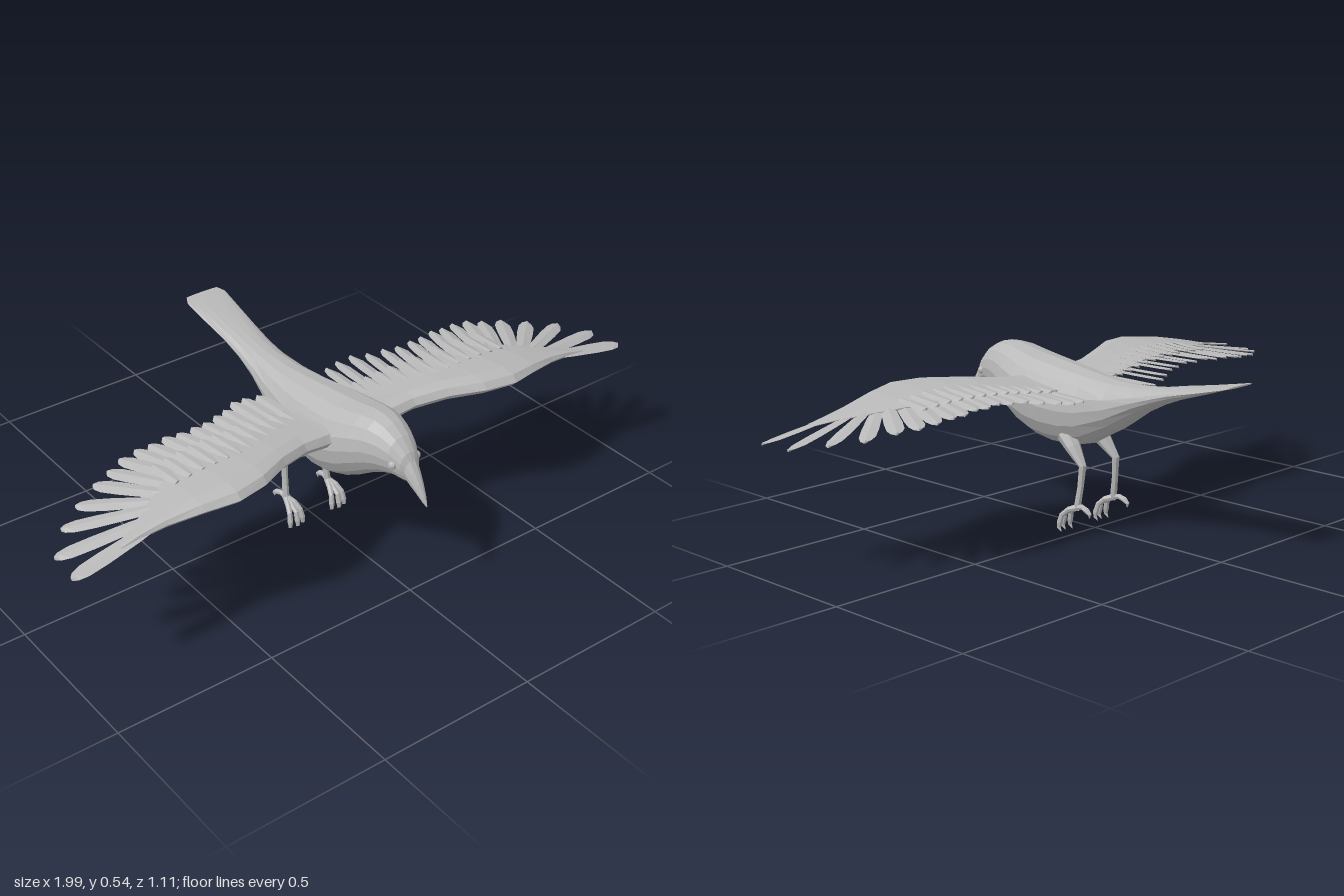
import * as THREE from 'three';

const plumage = new THREE.MeshStandardMaterial({ color: 0xb8b8b8, flatShading: true });
plumage.name = 'plain grey';

// Joins equal-sized rings of [x, y, z] points into a closed skin facing outward.
function loft(rings, name) {
  const n = rings[0].length, pts = rings.flat(), idx = [];
  for (let i = 0; i < rings.length - 1; i++)
    for (let j = 0; j < n; j++) {
      const a = i * n + j, b = i * n + (j + 1) % n;
      idx.push(a, b, a + n, b, b + n, a + n);
    }
  const last = (rings.length - 1) * n;
  for (let j = 1; j < n - 1; j++) {
    idx.push(0, j + 1, j);
    idx.push(last, last + j, last + j + 1);
  }
  // flip the winding if the enclosed volume comes out negative
  const v = pts.map(p => new THREE.Vector3(...p));
  const c = v.reduce((s, p) => s.add(p), new THREE.Vector3()).divideScalar(v.length);
  v.forEach(p => p.sub(c));
  let volume = 0;
  for (let k = 0; k < idx.length; k += 3)
    volume += v[idx[k]].dot(v[idx[k + 1]].clone().cross(v[idx[k + 2]]));
  if (volume < 0) idx.reverse();
  const g = new THREE.BufferGeometry();
  g.setAttribute('position', new THREE.Float32BufferAttribute(pts.flat(), 3));
  g.setIndex(idx);
  g.computeVertexNormals();
  return part(g, name);
}

function part(geometry, name) {
  const m = new THREE.Mesh(geometry, plumage);
  m.name = name;
  return m;
}

// Linear lookup in a short list of [x, value...] rows
function lookup(rows, x, col = 1) {
  let i = 0;
  while (i < rows.length - 2 && x > rows[i + 1][0]) i++;
  const a = rows[i], b = rows[i + 1];
  const t = THREE.MathUtils.clamp((x - a[0]) / (b[0] - a[0]), 0, 1);
  return a[col] + (b[col] - a[col]) * t;
}

// Trunk rings from rows of z, top, bottom, half width
function trunk(rows, name, sides = 16) {
  return loft(rows.map(([z, top, bottom, w]) =>
    Array.from({ length: sides }, (_, j) => {
      const a = j / sides * Math.PI * 2, c = Math.cos(a), s = Math.sin(a);
      const mid = (top + bottom) / 2;
      return [Math.sign(c) * Math.abs(c) ** 0.9 * w, mid + s * (top - bottom) / 2, z];
    })), name);
}

// Wing stations: x, leading z, trailing z, centre y, thickness
const WING = [
  [0.05, 0.26, 0.06, 0.435, 0.05], [0.12, 0.26, 0.07, 0.437, 0.05],
  [0.2, 0.265, 0.08, 0.447, 0.045], [0.3, 0.3, 0.1, 0.46, 0.045],
  [0.4, 0.35, 0.11, 0.467, 0.045], [0.5, 0.37, 0.12, 0.467, 0.042],
  [0.6, 0.345, 0.15, 0.458, 0.036], [0.7, 0.318, 0.21, 0.444, 0.026],
  [0.78, 0.308, 0.26, 0.432, 0.016], [0.84, 0.308, 0.282, 0.423, 0.006],
];
const wingY = x => x > 0.84 ? 0.423 - (x - 0.84) * 0.14 : lookup(WING, x, 3);

// Chord profile: fraction of chord, height in thicknesses
const AIRFOIL = [[0, 0], [0.07, 0.45], [0.25, 0.6], [0.6, 0.35], [1, 0.08],
  [1, -0.06], [0.6, 0.0], [0.25, -0.3], [0.07, -0.4]];

// A thin blade with a rounded tip lying along the wing surface
function feather(side, [rx, rz, tx, tz, w], lift) {
  const len = Math.hypot(tx - rx, tz - rz), dx = (tx - rx) / len, dz = (tz - rz) / len;
  const shape = [[0, 0.5], [0.3, 0.85], [0.65, 1], [0.86, 0.95], [0.96, 0.62], [1, 0.15]];
  return loft(shape.map(([t, k]) => {
    const x = rx + (tx - rx) * t, z = rz + (tz - rz) * t, h = w * k / 2;
    const y = wingY(x) + lift - 0.008 * t;
    return [[-h, 0.003], [0, 0.005], [h, -0.003], [0, -0.003]]
      .map(([o, e]) => [side * (x - dz * o), y + e, z + dx * o]);
  }), 'flightFeather');
}

function makeWing(side) {
  const wing = new THREE.Group();
  wing.name = side > 0 ? 'leftWing' : 'rightWing';
  wing.add(loft(WING.map(([x, lead, trail, y, t]) =>
    AIRFOIL.map(([u, h]) => [side * x, y + h * t, lead + (trail - lead) * u])), 'wingArm'));
  // fanned outer feathers: root x, root z, tip x, tip z, width
  const outer = [
    [0.7, 0.29, 0.995, 0.308, 0.05], [0.68, 0.27, 0.985, 0.203, 0.048],
    [0.66, 0.25, 0.915, 0.118, 0.048], [0.64, 0.24, 0.835, 0.06, 0.05],
    [0.62, 0.23, 0.755, 0.022, 0.052], [0.58, 0.22, 0.695, -0.002, 0.05],
    [0.55, 0.21, 0.645, -0.02, 0.05],
  ];
  outer.forEach((f, i) => wing.add(feather(side, f, 0.002 - (i % 2) * 0.003)));
  // inner row, running back to the body
  const tips = [[0.12, -0.075], [0.2, -0.09], [0.26, -0.055], [0.33, -0.025],
    [0.4, -0.012], [0.5, -0.02], [0.6, -0.025]];
  for (let i = 0; i < 11; i++) {
    const x = 0.13 + i * 0.046;
    wing.add(feather(side, [x - 0.01 - i * 0.005, 0.2, x, lookup(tips, x), 0.046],
      0.001 - (i % 2) * 0.003));
  }
  // short covering feathers over the inner row
  for (let i = 0; i < 12; i++) {
    const x = 0.13 + i * 0.042;
    wing.add(feather(side, [x, 0.2, x + 0.005, 0.05 + i * 0.003, 0.036], 0.012));
  }
  return wing;
}

// Round limb along points [x, y, z] with a radius at each
function limb(points, radii, name) {
  const p = points.map(a => new THREE.Vector3(...a));
  return loft(p.map((c, i) => {
    const d = p[Math.min(i + 1, p.length - 1)].clone().sub(p[Math.max(i - 1, 0)]).normalize();
    const u = new THREE.Vector3(1, 0, 0).addScaledVector(d, -d.x).normalize();
    const v = d.clone().cross(u);
    return Array.from({ length: 7 }, (_, j) => {
      const a = j / 7 * Math.PI * 2;
      return c.clone().addScaledVector(u, Math.cos(a) * radii[i])
        .addScaledVector(v, Math.sin(a) * radii[i]).toArray();
    });
  }), name);
}

function makeLeg(side) {
  const leg = new THREE.Group();
  leg.name = side > 0 ? 'leftLeg' : 'rightLeg';
  leg.add(limb([[side * 0.06, 0.3, 0.06], [side * 0.068, 0.265, 0.025], [side * 0.073, 0.215, -0.018],
    [side * 0.076, 0.15, -0.012], [side * 0.08, 0.085, -0.002]],
  [0.032, 0.024, 0.012, 0.01, 0.011], 'shank'));
  // three forward toes with curled claws
  for (const k of [-1, 0, 1]) {
    const x = o => side * (0.08 + k * o), r = k === 0 ? 0.006 : 0;
    leg.add(limb([[x(0), 0.085, -0.002], [x(0.012), 0.076, 0.025], [x(0.02), 0.058, 0.044 + r],
      [x(0.023), 0.032, 0.051 + r], [x(0.024), 0.016, 0.053 + r], [x(0.024), 0.005, 0.043 + r]],
    [0.011, 0.009, 0.008, 0.009, 0.006, 0.001], 'toe'));
  }
  // hind toe
  leg.add(limb([[side * 0.08, 0.085, 0.002], [side * 0.082, 0.091, -0.025], [side * 0.084, 0.084, -0.045],
    [side * 0.084, 0.074, -0.058], [side * 0.084, 0.062, -0.056]],
  [0.01, 0.008, 0.009, 0.006, 0.001], 'hindToe'));
  return leg;
}

export function createModel() {
  const bird = new THREE.Group();
  bird.name = 'bird';
  // head, trunk and tail in one skin
  bird.add(trunk([
    [0.488, 0.455, 0.388, 0.022], [0.475, 0.478, 0.385, 0.036], [0.44, 0.512, 0.388, 0.054],
    [0.4, 0.535, 0.375, 0.07], [0.36, 0.544, 0.354, 0.084], [0.31, 0.541, 0.32, 0.1],
    [0.257, 0.529, 0.29, 0.114], [0.2, 0.519, 0.268, 0.12], [0.137, 0.51, 0.257, 0.117],
    [0.06, 0.499, 0.257, 0.108], [0, 0.49, 0.272, 0.098], [-0.1, 0.478, 0.326, 0.082],
    [-0.2, 0.477, 0.394, 0.066], [-0.27, 0.484, 0.43, 0.061], [-0.34, 0.497, 0.458, 0.062],
    [-0.45, 0.515, 0.493, 0.068], [-0.53, 0.528, 0.52, 0.071], [-0.555, 0.532, 0.527, 0.058],
  ], 'body'));
  // beak
  bird.add(trunk([
    [0.45, 0.46, 0.4, 0.03], [0.485, 0.46, 0.386, 0.026], [0.505, 0.433, 0.372, 0.021],
    [0.525, 0.403, 0.358, 0.015], [0.545, 0.368, 0.342, 0.008], [0.556, 0.344, 0.335, 0.002],
  ], 'beak', 10));
  for (const side of [1, -1]) {
    const eye = part(new THREE.SphereGeometry(0.013, 10, 8), 'eye');
    eye.position.set(side * 0.043, 0.44, 0.453);
    bird.add(eye, makeWing(side), makeLeg(side));
  }
  return bird;
}
